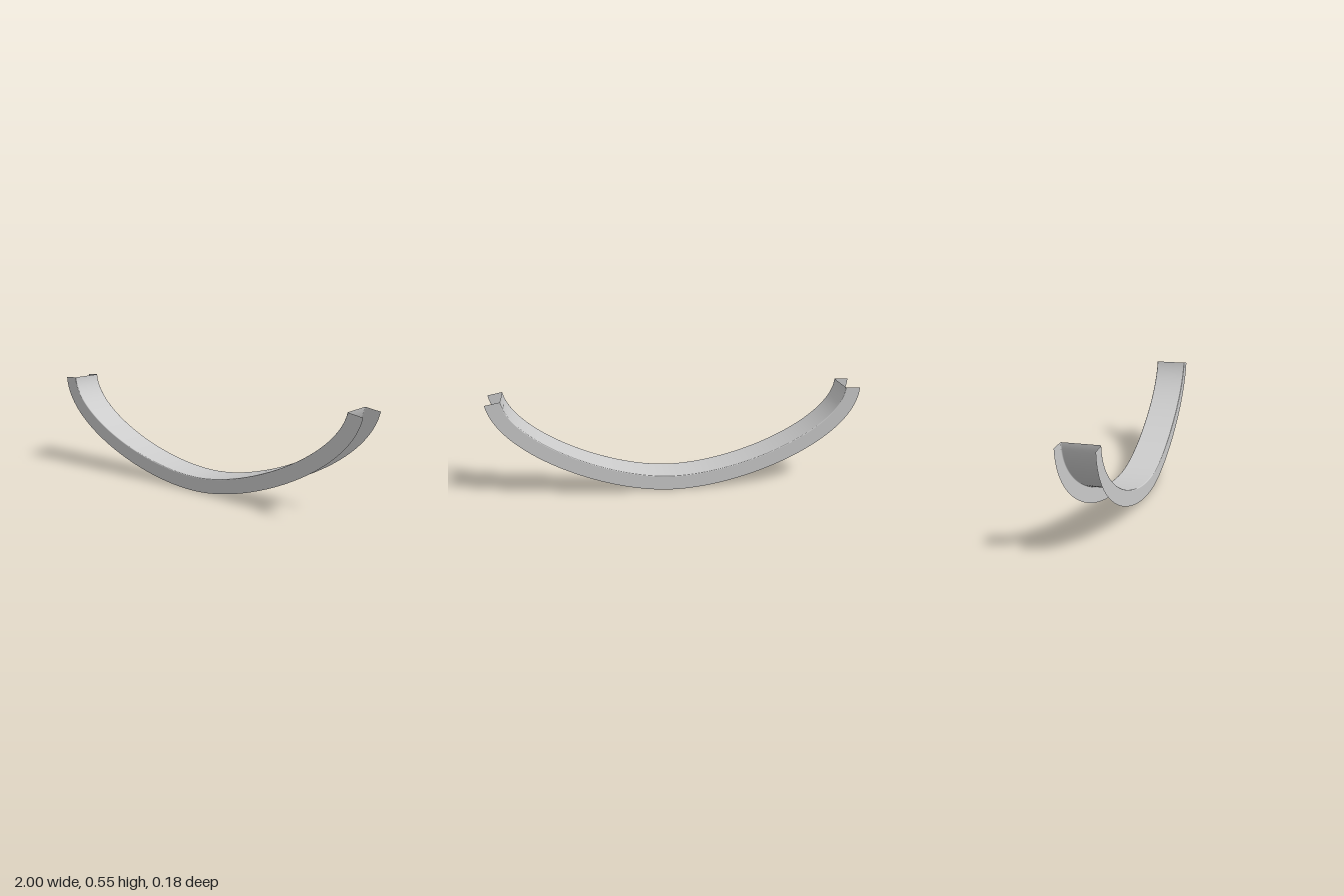
import * as THREE from 'three';

const DEPTH = 0.08, HALF = 0.09, R = 0.005, STEPS = 48, ARC = 4;

// Centre line of the web: two curves meeting at the lowest point
function makePath() {
  const v = (x, y) => new THREE.Vector2(x, y);
  return [
    new THREE.CubicBezierCurve(v(-0.92, 0.54), v(-0.909, 0.315), v(-0.38, 0.08), v(0.02, 0.08)),
    new THREE.CubicBezierCurve(v(0.02, 0.08), v(0.37, 0.08), v(0.878, 0.325), v(0.92, 0.548)),
  ];
}

// Channel cross-section: z, outward depth, and normal (nz across, nd outward)
function makeSection() {
  const side = [{ z: HALF, d: DEPTH, nz: 1, nd: 0 }];
  for (let i = 0; i <= ARC; i++) {
    const a = (i / ARC) * Math.PI / 2;
    side.push({
      z: HALF - R + R * Math.cos(a), d: R - R * Math.sin(a),
      nz: Math.cos(a), nd: -Math.sin(a),
    });
  }
  const mirrored = side.map((p) => ({ ...p, z: -p.z, nz: -p.nz })).reverse();
  return [...side, ...mirrored];
}

// Sweep the section along the path, keeping depth perpendicular to the curve
function sweep(path, section) {
  const pos = [], nor = [], idx = [];
  const n = section.length, rows = path.length * STEPS;
  for (let i = 0; i <= rows; i++) {
    const k = Math.min(Math.floor(i / STEPS), path.length - 1);
    const t = i / STEPS - k;
    const p = path[k].getPoint(t), tan = path[k].getTangent(t);
    const ox = tan.y, oy = -tan.x; // outward direction
    for (const s of section) {
      pos.push(p.x + ox * s.d, p.y + oy * s.d, s.z);
      nor.push(ox * s.nd, oy * s.nd, s.nz);
    }
    if (i === rows) continue;
    for (let j = 0; j < n - 1; j++) {
      const a = i * n + j, b = a + n;
      idx.push(a, b, a + 1, b, b + 1, a + 1);
    }
  }
  const geo = new THREE.BufferGeometry();
  geo.setAttribute('position', new THREE.Float32BufferAttribute(pos, 3));
  geo.setAttribute('normal', new THREE.Float32BufferAttribute(nor, 3));
  geo.setIndex(idx);
  return geo;
}

export function createModel() {
  const group = new THREE.Group();
  group.name = 'curvedChannel';
  const material = new THREE.MeshStandardMaterial({ color: 0xcccccc, side: THREE.DoubleSide });
  const channel = new THREE.Mesh(sweep(makePath(), makeSection()), material);
  channel.name = 'channelStrip';
  group.add(channel);
  return group;
}
